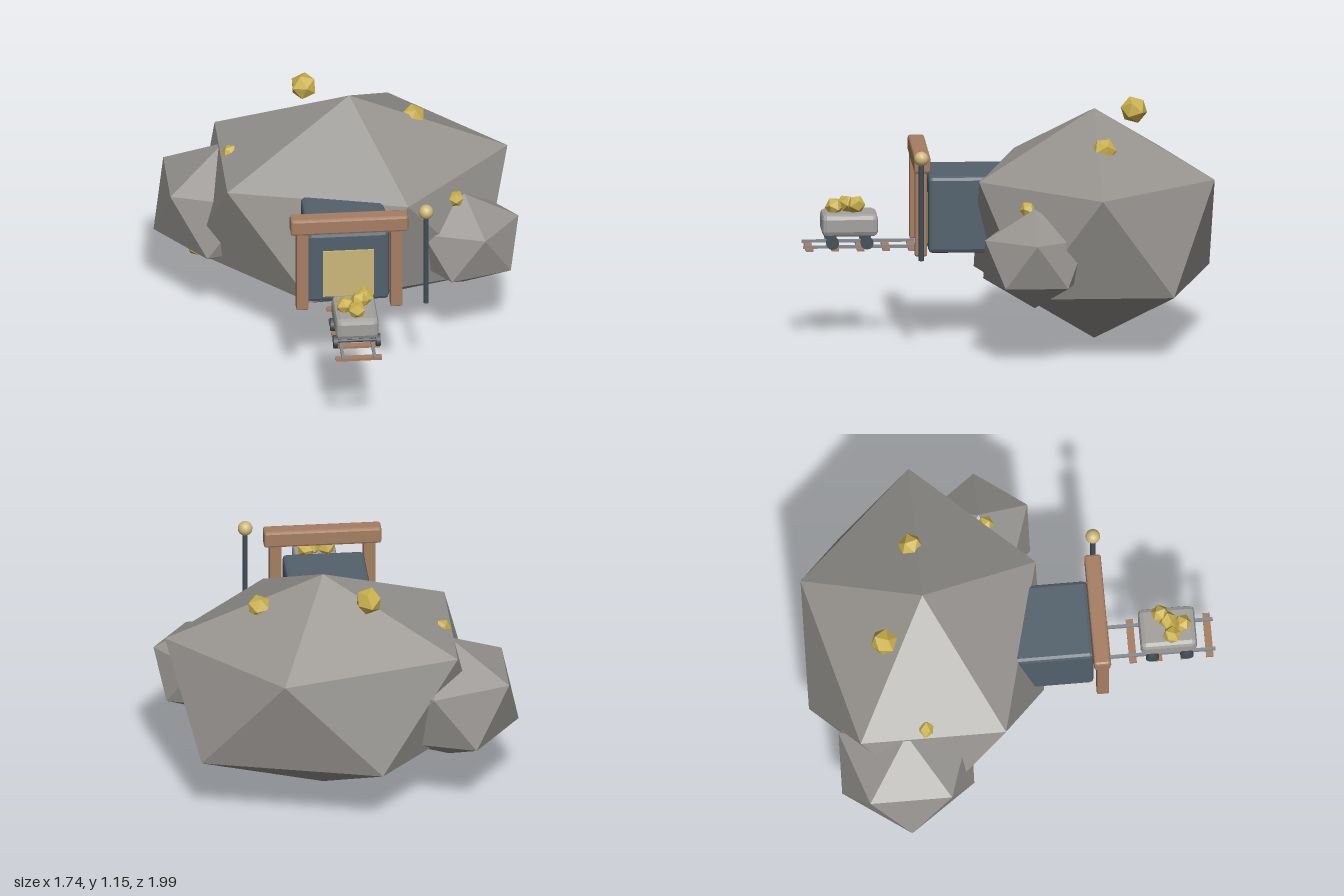
import * as THREE from 'three';
import { RoundedBoxGeometry } from 'three/addons/geometries/RoundedBoxGeometry.js';

const material = (name, color) => {
  const m = new THREE.MeshStandardMaterial({ color });
  m.name = name;
  return m;
};

// Faceted twenty-sided stone standing on one corner: two staggered rings of five
function stoneGeometry(rx, ry, rz) {
  const pos = [];
  const ring = (k, offset, y) => {
    const a = (k * 72 + offset) * Math.PI / 180;
    return [Math.cos(a) * 0.894 * rx, y * 0.447 * ry, Math.sin(a) * 0.894 * rz];
  };
  const top = [0, ry, 0], bottom = [0, -ry, 0];
  for (let k = 0; k < 5; k++) {
    const u = ring(k, 0, 1), u2 = ring(k + 1, 0, 1);
    const l = ring(k, 36, -1), l2 = ring(k + 1, 36, -1);
    pos.push(...top, ...u2, ...u, ...u, ...u2, ...l, ...l, ...u2, ...l2, ...bottom, ...l, ...l2);
  }
  const g = new THREE.BufferGeometry();
  g.setAttribute('position', new THREE.Float32BufferAttribute(pos, 3));
  g.computeVertexNormals();
  return g;
}

// Box with flat chamfered edges
function chamferBox(w, h, d, bevel) {
  const g = new RoundedBoxGeometry(w, h, d, 1, bevel);
  g.computeVertexNormals();
  return g;
}

export function createModel() {
  const group = new THREE.Group();
  group.name = 'mineEntrance';
  const rock = material('rock grey', 0x96938f);
  const slate = material('slate metal', 0x53616c);
  const wood = material('timber brown', 0xa67e62);
  const gold = material('ore gold', 0xc9b04c);
  const glow = material('pale gold', 0xcdb87a);
  const steel = material('rail steel', 0x868a8f);
  const cartGrey = material('cart grey', 0xa3a19e);
  const dark = material('dark iron', 0x434d56);

  const add = (name, geometry, mat, x, y, z, parent = group) => {
    const m = new THREE.Mesh(geometry, mat);
    m.name = name;
    m.position.set(x, y, z);
    parent.add(m);
    return m;
  };

  // Boulders
  add('mainBoulder', stoneGeometry(0.866, 0.57, 0.676), rock, 0.07, 0.57, -0.42);
  add('leftBoulder', stoneGeometry(0.296, 0.245, 0.29), rock, 0.605, 0.5, -0.1);
  add('rightBoulder', stoneGeometry(0.38, 0.32, 0.38), rock, -0.535, 0.512, -0.55);

  // Gold nuggets on the rock: x, y, z, radius
  const nugget = (name, [x, y, z, r], i, parent) => {
    const n = add(name, stoneGeometry(r, r, r), gold, x, y, z, parent);
    n.rotation.set(0.3 + i * 0.7, i * 1.1, 0.25 + i * 0.4);
  };
  [
    [-0.135, 1.09, -0.625, 0.068],
    [0.385, 0.99, -0.45, 0.063],
    [0.56, 0.735, -0.07, 0.042],
    [-0.51, 0.83, -0.45, 0.045],
    [-0.68, 0.335, -0.42, 0.045],
  ].forEach((n, i) => nugget('rockNugget', n, i));

  // Everything at the entrance shares one centre line
  const entrance = new THREE.Group();
  entrance.name = 'entrance';
  entrance.position.x = -0.006;
  group.add(entrance);

  // Tunnel and its glowing opening
  add('tunnel', chamferBox(0.4, 0.38, 0.4, 0.02), slate, 0, 0.64, 0.195, entrance);
  add('tunnelOpening', new THREE.BoxGeometry(0.25, 0.25, 0.009), glow, 0, 0.61, 0.399, entrance);

  // Timber frame
  for (const s of [-1, 1]) {
    add('framePost', chamferBox(0.06, 0.43, 0.06, 0.007), wood, s * 0.23, 0.663, 0.435, entrance);
  }
  add('frameBeam', chamferBox(0.575, 0.085, 0.08, 0.012), wood, 0, 0.907, 0.43, entrance);

  // Track
  for (const s of [-1, 1]) {
    add('rail', new THREE.BoxGeometry(0.015, 0.014, 0.55), steel, s * 0.077, 0.465, 0.725, entrance);
  }
  for (let i = 0; i < 5; i++) {
    add('sleeper', new THREE.BoxGeometry(0.225, 0.012, 0.036), wood, 0, 0.454, 0.47 + i * 0.125, entrance);
  }

  // Mine cart
  const cart = new THREE.Group();
  cart.name = 'mineCart';
  entrance.add(cart);
  add('cartBody', chamferBox(0.21, 0.11, 0.275, 0.025), cartGrey, 0, 0.572, 0.772, cart);
  for (const z of [0.69, 0.858]) {
    add('axle', new THREE.CylinderGeometry(0.008, 0.008, 0.2, 8), dark, 0, 0.489, z, cart).rotation.z = Math.PI / 2;
    for (const s of [-1, 1]) {
      add('wheel', new THREE.CylinderGeometry(0.032, 0.032, 0.022, 12), dark, s * 0.104, 0.489, z, cart).rotation.z = Math.PI / 2;
    }
  }
  [
    [-0.053, 0.65, 0.79, 0.046],
    [0.052, 0.67, 0.74, 0.046],
    [0.002, 0.65, 0.845, 0.046],
    [0.018, 0.665, 0.775, 0.046],
  ].forEach((n, i) => nugget('cartNugget', n, i, cart));

  // Lamp
  add('lampPost', new THREE.CylinderGeometry(0.013, 0.013, 0.48, 10), dark, 0.37, 0.69, 0.44);
  add('lampGlobe', new THREE.SphereGeometry(0.036, 16, 12), glow, 0.37, 0.955, 0.44);

  return group;
}
